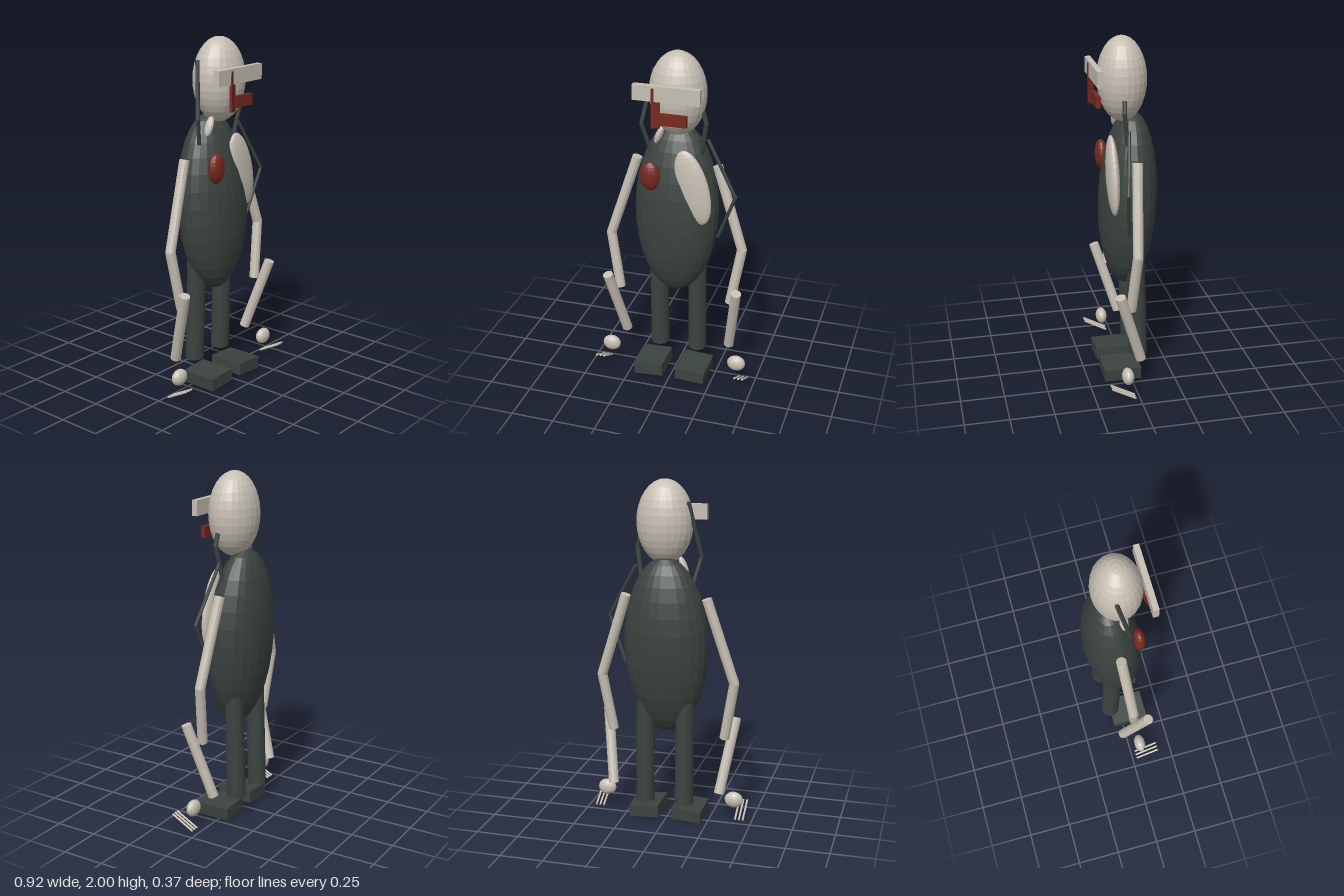
import * as THREE from 'three';

const paint = (name, color) => {
  const m = new THREE.MeshStandardMaterial({ color, flatShading: true });
  m.name = name;
  return m;
};

export function createModel() {
  const bone = paint('bone', 0xc6bfb3);
  const dark = paint('darkGreenGrey', 0x3b433f);
  const red = paint('rustRed', 0x76291f);
  const model = new THREE.Group();
  model.name = 'figure';

  const add = (name, geo, mat, pos = [0, 0, 0], rot = [0, 0, 0]) => {
    const mesh = new THREE.Mesh(geo, mat);
    mesh.name = name;
    mesh.position.set(...pos);
    mesh.rotation.set(...rot);
    model.add(mesh);
    return mesh;
  };
  const egg = (name, mat, pos, radii, rot, w = 24, h = 16) =>
    add(name, new THREE.SphereGeometry(1, w, h).scale(...radii), mat, pos, rot);
  const box = (name, mat, size, pos, rot) =>
    add(name, new THREE.BoxGeometry(...size), mat, pos, rot);

  // Straight round bar between two points
  const up = new THREE.Vector3(0, 1, 0);
  const rod = (name, mat, a, b, r, sides = 12) => {
    const p = new THREE.Vector3(...a), q = new THREE.Vector3(...b);
    const d = q.clone().sub(p);
    const mesh = add(name, new THREE.CylinderGeometry(r, r, d.length(), sides), mat);
    mesh.position.copy(p).add(q).multiplyScalar(0.5);
    mesh.quaternion.setFromUnitVectors(up, d.normalize());
  };
  // Chain of bars with a ball at each bend
  const chain = (name, mat, pts, r, sides = 12) => {
    for (let i = 0; i + 1 < pts.length; i++) {
      rod(name, mat, pts[i], pts[i + 1], r, sides);
      if (i) egg(name + 'Joint', mat, pts[i], [r, r, r], [0, 0, 0], sides, 8);
    }
  };

  // Torso and head
  egg('torso', dark, [0, 1.06, -0.02], [0.244, 0.515, 0.163], [-0.05, 0, 0]);
  egg('head', bone, [0.016, 1.763, 0.015], [0.161, 0.237, 0.138]);
  egg('collar', bone, [-0.088, 1.515, 0.03], [0.02, 0.06, 0.025], [0, 0, -0.4], 12, 8);

  // Chest patches
  egg('chestPatch', bone, [0.123, 1.242, 0.089], [0.092, 0.225, 0.036], [0, 0, 0.27]);
  egg('chestBadge', red, [-0.119, 1.293, 0.107], [0.058, 0.086, 0.036], [0, 0, 0], 16, 12);

  // Visor with its red bracket
  box('visor', bone, [0.376, 0.087, 0.032], [-0.003, 1.803, 0.166]);
  box('bracketUpright', red, [0.05, 0.223, 0.016], [-0.063, 1.722, 0.172], [0, 0.3, 0]);
  box('bracketArm', red, [0.15, 0.063, 0.026], [0.034, 1.658, 0.163]);

  // Cords beside the head and over the left shoulder
  chain('rightCord', dark, [[-0.127, 1.88, -0.02], [-0.19, 1.57, 0.035], [-0.15, 1.42, 0.01]], 0.012, 8);
  chain('leftCord', dark, [[0.162, 1.675, 0.03], [0.182, 1.61, 0.035], [0.15, 1.42, 0.01]], 0.013, 8);
  chain('shoulderCord', dark, [[0.185, 1.51, 0.01], [0.358, 1.2, 0.052], [0.255, 0.93, 0.025]], 0.01, 8);

  for (const s of [-1, 1]) {
    const side = s > 0 ? 'left' : 'right';
    const at = (x, y, z) => [s * x, y, z];
    // Arm, loose forearm, hand and fingers
    chain(side + 'Arm', bone, [at(0.235, 1.345, -0.025), at(0.393, 0.855, 0.005), at(0.335, 0.515, 0.03)], 0.029);
    rod(side + 'Forearm', bone, at(0.388, 0.622, 0.103), at(0.32, 0.193, -0.03), 0.03);
    egg(side + 'Hand', bone, at(0.39, 0.125, 0.06), [0.055, 0.048, 0.034], [0, 0, 0], 16, 10);
    for (const x of [0.406, 0.429, 0.452])
      rod(side + 'Finger', bone, at(x, 0.087, 0.163), at(x, 0.014, 0.027), 0.006, 8);
    // Leg and foot
    rod(side + 'Leg', dark, at(0.117, 0.125, -0.06), at(0.117, 0.8, -0.04), 0.054, 16);
    box(side + 'Foot', dark, [0.175, 0.072, 0.215], at(0.128, 0.042, 0.05), [0, 0, -s * 0.06]);
  }
  return model;
}
